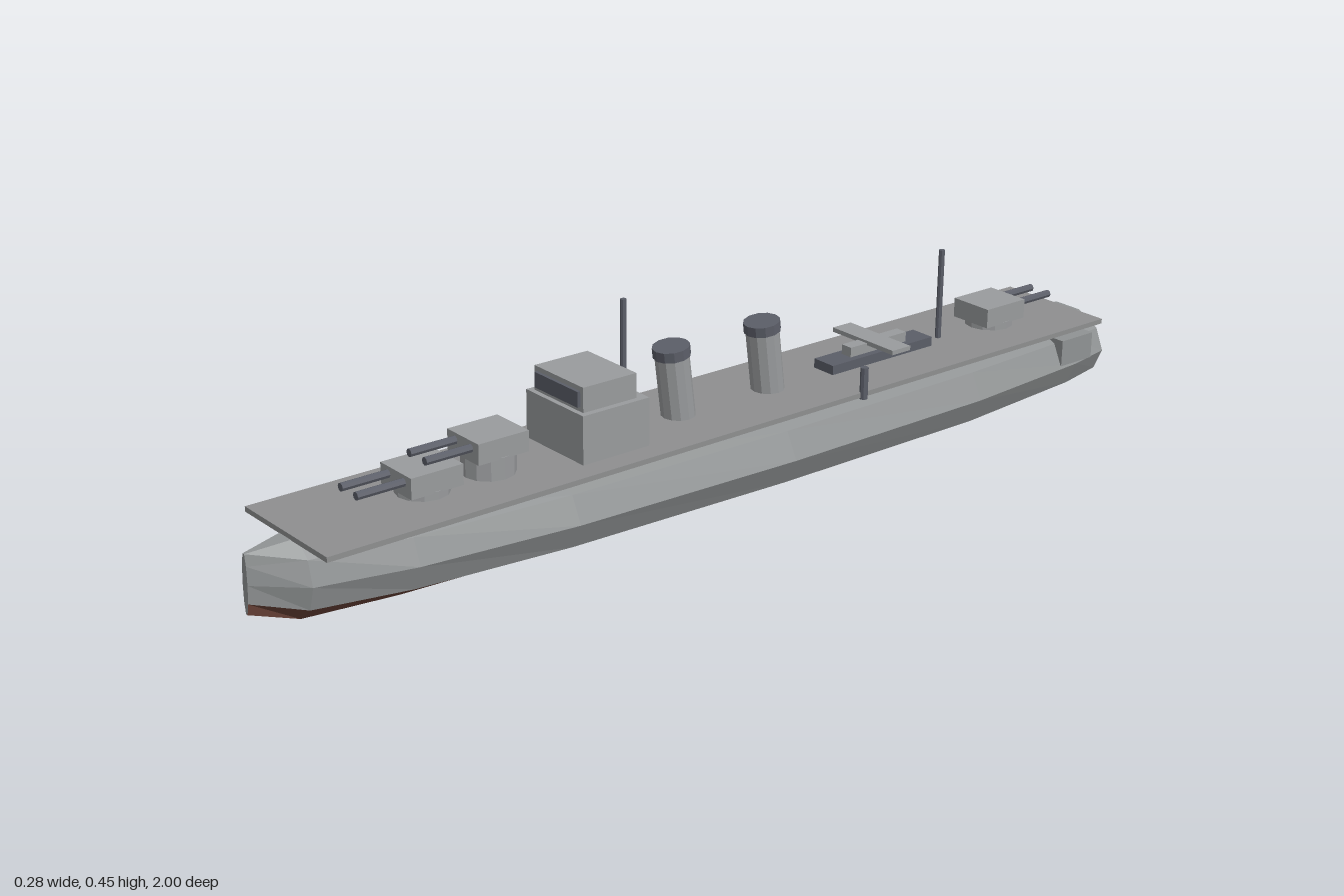
import * as THREE from 'three';

const mat = (name, color) => Object.assign(new THREE.MeshStandardMaterial({ color, flatShading: true }), { name });

// Ten-sided hull lofted along z; the three lowest strips use the second material
function hullGeometry() {
  // z, half width, bottom, top
  const sections = [
    [-1, 0.104, 0.03, 0.173], [-0.9, 0.122, 0.022, 0.178], [-0.6, 0.138, 0.01, 0.18],
    [-0.1, 0.142, 0.011, 0.18], [0.4, 0.13, 0.016, 0.18], [0.72, 0.102, 0.022, 0.18],
    [0.91, 0.066, 0.03, 0.18], [1, 0.008, 0.058, 0.17],
  ];
  const n = 10;
  const point = ([z, w, bottom, top], k) => {
    const a = (k % n) * Math.PI * 2 / n;
    return [w * Math.cos(a), (top + bottom) / 2 + (top - bottom) / 1.902 * Math.sin(a), z];
  };
  const centre = ([z, , bottom, top]) => [0, (top + bottom) / 2, z];
  const upper = [], lower = [];
  for (let i = 0; i < sections.length - 1; i++) {
    for (let k = 0; k < n; k++) {
      const a = point(sections[i], k), b = point(sections[i], k + 1);
      const c = point(sections[i + 1], k + 1), d = point(sections[i + 1], k);
      (k >= 6 && k <= 8 ? lower : upper).push(...a, ...b, ...c, ...a, ...c, ...d);
    }
  }
  const first = sections[0], last = sections[sections.length - 1];
  for (let k = 0; k < n; k++) {
    upper.push(...centre(first), ...point(first, k + 1), ...point(first, k));
    upper.push(...centre(last), ...point(last, k), ...point(last, k + 1));
  }
  const g = new THREE.BufferGeometry();
  g.setAttribute('position', new THREE.Float32BufferAttribute([...upper, ...lower], 3));
  g.addGroup(0, upper.length / 3, 0);
  g.addGroup(upper.length / 3, lower.length / 3, 1);
  g.computeVertexNormals();
  return g;
}

export function createModel() {
  const hullGrey = mat('hull grey', 0x909394);
  const deckGrey = mat('deck grey', 0x8e8f90);
  const lightGrey = mat('superstructure grey', 0x999b9d);
  const darkGrey = mat('dark grey', 0x5b5e68);
  const red = mat('bottom red', 0x6b4439);

  const model = new THREE.Group();
  const ship = new THREE.Group();
  ship.name = 'ship';
  ship.rotation.set(-0.0165, -0.01, 0);
  ship.position.x = -0.005;
  model.add(ship);

  const add = (name, geometry, material, x, y, z, parent = ship) => {
    const m = new THREE.Mesh(geometry, material);
    m.name = name;
    m.position.set(x, y, z);
    parent.add(m);
    return m;
  };
  // Box given by its base height
  const box = (name, material, w, h, d, x, y, z, parent) =>
    add(name, new THREE.BoxGeometry(w, h, d), material, x, y + h / 2, z, parent);
  // Upright cylinder given by its base height
  const post = (name, material, r, h, x, y, z, parent, sides = 8) =>
    add(name, new THREE.CylinderGeometry(r, r, h, sides), material, x, y + h / 2, z, parent);

  const deckY = 0.188;

  // Hull, deck and the block across the stern
  add('hull', hullGeometry(), [hullGrey, red], 0, 0, 0);
  box('deck', deckGrey, 0.262, 0.01, 1.88, 0, deckY - 0.01, -0.02);
  box('sternBlock', hullGrey, 0.246, 0.055, 0.09, 0, 0.105, -0.897);

  // Bridge
  box('bridgeBase', lightGrey, 0.17, 0.094, 0.15, 0, deckY, 0.285);
  box('bridgeTop', lightGrey, 0.145, 0.048, 0.12, 0, deckY + 0.094, 0.29);
  box('bridgeWindow', darkGrey, 0.128, 0.03, 0.009, 0, deckY + 0.103, 0.352);

  // Twin-gun turrets
  const turret = (name, z, lift, facing) => {
    const g = new THREE.Group();
    g.name = name;
    g.position.set(0, deckY, z);
    g.rotation.y = facing < 0 ? Math.PI : 0;
    ship.add(g);
    post('barbette', lightGrey, 0.05, 0.015 + lift, 0, 0, 0, g, 12);
    box('turretHouse', lightGrey, 0.095, 0.04, 0.108, 0, 0.012 + lift, 0, g);
    for (const x of [-0.024, 0.024]) {
      const barrel = add('barrel', new THREE.CylinderGeometry(0.008, 0.008, 0.12, 8), darkGrey,
        x, 0.038 + lift, 0.09, g);
      barrel.rotation.x = Math.PI / 2;
    }
  };
  turret('frontTurret', 0.645, 0, 1);
  turret('raisedTurret', 0.505, 0.027, 1);
  turret('rearTurret', -0.757, 0, -1);

  // Raked funnels with dark caps
  for (const z of [0.072, -0.15]) {
    const funnel = new THREE.Group();
    funnel.name = 'funnel';
    funnel.position.set(0, deckY - 0.003, z);
    funnel.rotation.x = 0.135;
    ship.add(funnel);
    post('funnelBody', lightGrey, 0.033, 0.13, 0, 0, 0, funnel, 12);
    post('funnelCap', darkGrey, 0.036, 0.02, 0, 0.126, 0, funnel, 12);
  }

  // Masts and side posts
  post('mainMast', darkGrey, 0.006, 0.257, 0, deckY, 0.203);
  post('rearMast', darkGrey, 0.006, 0.187, 0, deckY, -0.61);
  for (const side of [-1, 1]) post('sidePost', darkGrey, 0.008, 0.064, side * 0.131, 0.175, -0.28);

  // Catapult with seaplane
  box('catapult', darkGrey, 0.054, 0.019, 0.27, 0, deckY, -0.43);
  box('seaplaneBody', lightGrey, 0.026, 0.02, 0.15, 0, deckY + 0.019, -0.43);
  box('seaplaneWing', lightGrey, 0.172, 0.009, 0.048, 0, deckY + 0.035, -0.422);

  return model;
}
